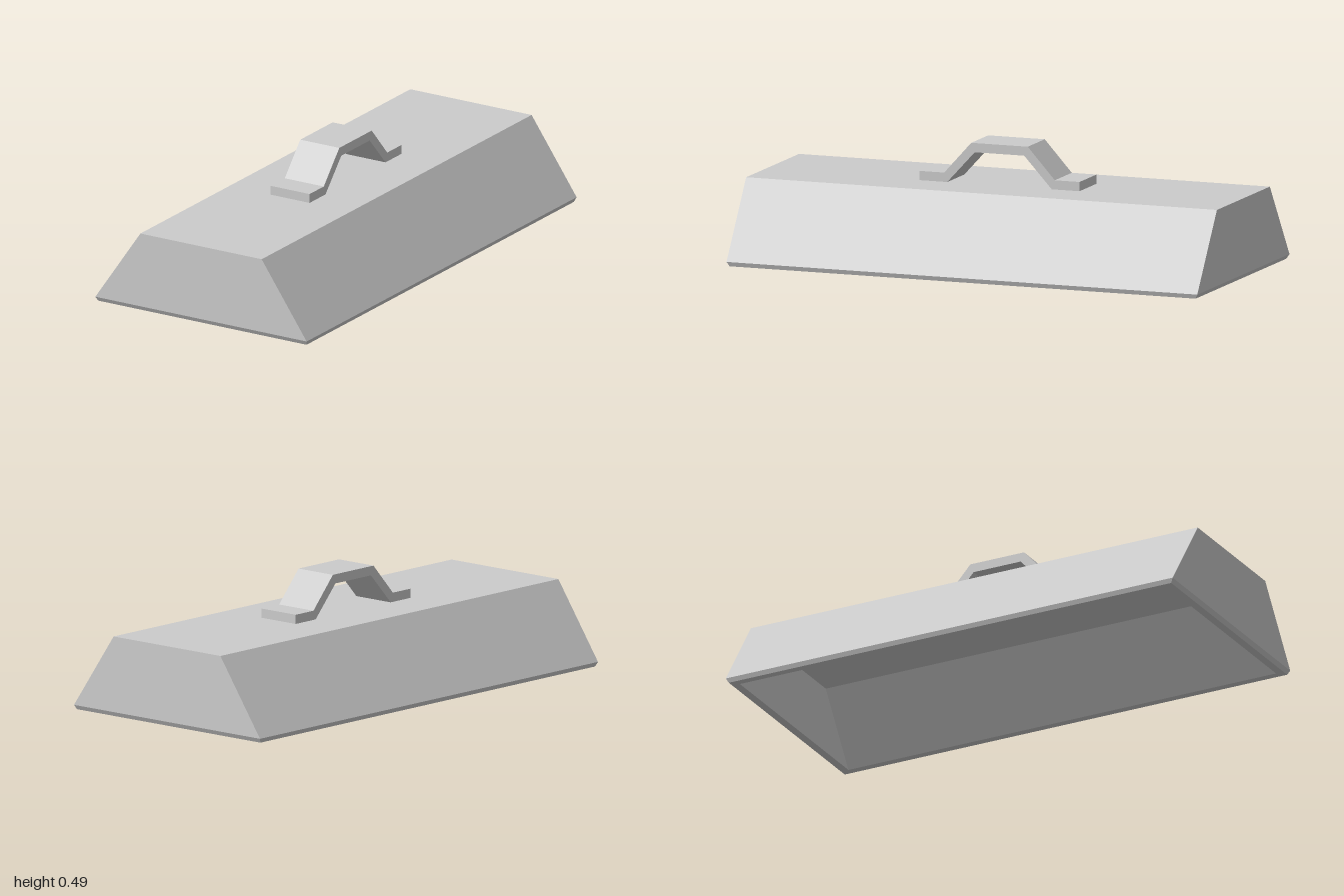
import * as THREE from 'three';

const material = new THREE.MeshStandardMaterial({ color: 0xcccccc, flatShading: true });

// Closed skin through rectangular rings [half width, y, half depth], capped at both ends
function loftRectangles(rings) {
  const corners = [[1, 1], [1, -1], [-1, -1], [-1, 1]];
  const positions = [];
  const index = [];
  for (const [w, y, d] of rings) {
    for (const [sx, sz] of corners) positions.push(sx * w, y, sz * d);
  }
  for (let r = 0; r < rings.length - 1; r++) {
    for (let k = 0; k < 4; k++) {
      const a = r * 4 + k, b = r * 4 + (k + 1) % 4;
      index.push(a, a + 4, b + 4, a, b + 4, b);
    }
  }
  const e = (rings.length - 1) * 4;
  index.push(0, 1, 2, 0, 2, 3, e, e + 2, e + 1, e, e + 3, e + 2);

  const geometry = new THREE.BufferGeometry();
  geometry.setAttribute('position', new THREE.Float32BufferAttribute(positions, 3));
  geometry.setIndex(index);
  const flat = geometry.toNonIndexed();
  flat.computeVertexNormals();
  return flat;
}

export function createModel() {
  const group = new THREE.Group();
  group.name = 'lid';

  // Hollow cover: sloping sides, upright ends, bevelled lower rim, open underneath
  const cover = new THREE.Mesh(loftRectangles([
    [0.283, 0.323, 1],
    [0.493, 0.018, 1],
    [0.486, 0, 0.99],
    [0.455, 0, 0.957],
    [0.265, 0.276, 0.957],
  ]), material);
  cover.name = 'cover';
  group.add(cover);

  // Bent strap handle: half of its side profile (z, y), mirrored front to back
  const upper = [[0.34, 0.323], [0.34, 0.36], [0.235, 0.36], [0.12, 0.487]];
  const lower = [[0.105, 0.45], [0.222, 0.323]];
  const mirror = (points) => points.map(([z, y]) => [-z, y]).reverse();
  const outline = [...upper, ...mirror(upper), ...mirror(lower), ...lower];
  const shape = new THREE.Shape(outline.map(([z, y]) => new THREE.Vector2(z, y)));
  const width = 0.182;
  const strap = new THREE.ExtrudeGeometry(shape, { depth: width, bevelEnabled: false });
  strap.translate(0, 0, -width / 2);
  strap.rotateY(-Math.PI / 2);
  const handle = new THREE.Mesh(strap, material);
  handle.name = 'handle';
  group.add(handle);

  return group;
}
